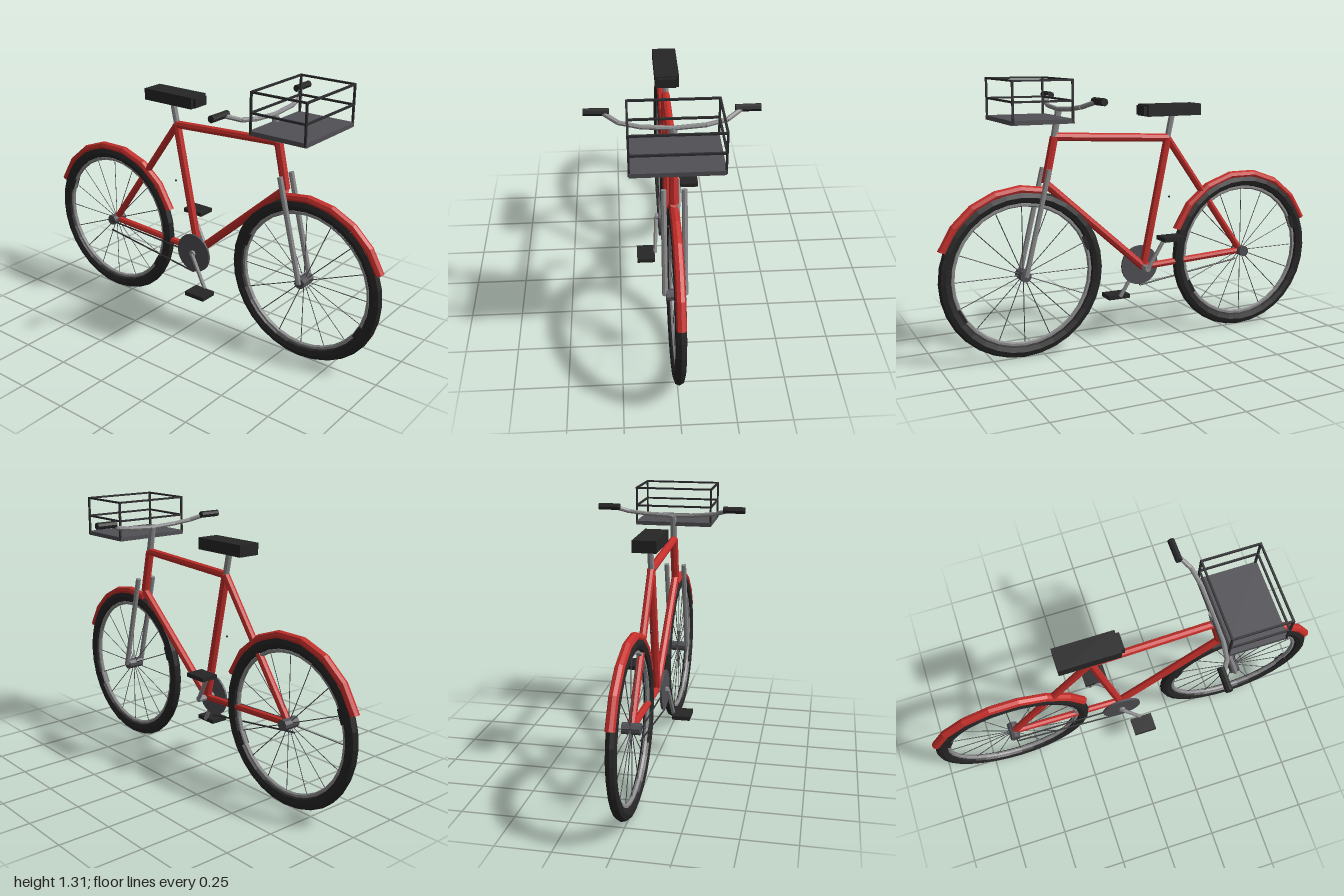
import * as THREE from 'three';

const mat = (name, color) => {
  const m = new THREE.MeshStandardMaterial({ color });
  m.name = name;
  return m;
};

export function createModel() {
  const red = mat('red paint', 0xc62f2b);
  const black = mat('black rubber', 0x262627);
  const steel = mat('steel', 0x8c8c8e);
  const grey = mat('dark grey metal', 0x505055);
  const wire = mat('dark wire', 0x2e2e31);

  const bike = new THREE.Group();
  bike.name = 'bicycle';
  const V = (x, y, z = 0) => new THREE.Vector3(x, y, z);

  const add = (name, geo, material, parent = bike) => {
    const flat = geo.index ? geo.toNonIndexed() : geo;
    flat.computeVertexNormals();
    const mesh = new THREE.Mesh(flat, material);
    mesh.name = name;
    parent.add(mesh);
    return mesh;
  };

  // Straight round bar between two points
  const bar = (name, a, b, r, material, parent = bike, sides = 8) => {
    const mesh = add(name, new THREE.CylinderGeometry(r, r, a.distanceTo(b), sides), material, parent);
    mesh.position.copy(a).lerp(b, 0.5);
    mesh.quaternion.setFromUnitVectors(V(0, 1), b.clone().sub(a).normalize());
    return mesh;
  };

  const box = (name, x, y, z, w, h, d, material, parent = bike) => {
    const mesh = add(name, new THREE.BoxGeometry(w, h, d), material, parent);
    mesh.position.set(x, y, z);
    return mesh;
  };

  // Wheel with tyre, rim, hub, spokes and a mudguard over the given arc
  const wheel = (name, x, startDeg, endDeg, segments) => {
    const g = new THREE.Group();
    g.name = name;
    g.position.set(x, 0.405, 0);
    bike.add(g);
    add('tyre', new THREE.TorusGeometry(0.37, 0.031, 8, 32), black, g).scale.z = 0.8;
    add('rim', new THREE.TorusGeometry(0.336, 0.011, 6, 32), steel, g);
    bar('hub', V(0, 0, -0.042), V(0, 0, 0.042), 0.027, grey, g, 10);
    for (let i = 0; i < 16; i++) {
      const a = (i * Math.PI) / 8;
      bar('spoke', V(0, 0), V(Math.cos(a) * 0.335, Math.sin(a) * 0.335), 0.0022, grey, g, 4);
    }
    // Small rubber blocks on the inner edge of the tyre
    for (const deg of [158, -28]) {
      const a = THREE.MathUtils.degToRad(deg);
      const block = box('tyreBlock', Math.cos(a) * 0.35, Math.sin(a) * 0.35, 0, 0.04, 0.07, 0.034, black, g);
      block.rotation.z = a;
    }
    const arc = THREE.MathUtils.degToRad(endDeg - startDeg);
    const guard = add('mudguard', new THREE.TorusGeometry(0.404, 0.022, 8, segments, arc), red, g);
    guard.rotation.z = THREE.MathUtils.degToRad(startDeg);
    // End caps of the mudguard
    for (const a of [0, arc]) {
      const cap = add('mudguardEnd', new THREE.CircleGeometry(0.022, 8), red, guard);
      cap.position.set(Math.cos(a) * 0.404, Math.sin(a) * 0.404, 0);
      cap.rotation.set(Math.PI / 2, a, 0, 'ZYX');
      cap.rotation.set(0, 0, 0);
      cap.lookAt(0, 0, 0);
      cap.quaternion.setFromUnitVectors(V(0, 0, 1),
        V(-Math.sin(a), Math.cos(a)).multiplyScalar(a ? 1 : -1));
    }
  };
  wheel('rearWheel', -0.597, 21, 159, 7);
  wheel('frontWheel', 0.595, 21, 106, 5);

  // Frame
  const axle = V(-0.597, 0.405), seatLug = V(-0.163, 1.015), bracket = V(-0.03, 0.377);
  const headTop = V(0.43, 1.045), headLow = V(0.477, 0.83);
  bar('seatStay', axle, seatLug, 0.018, red);
  bar('chainStay', axle, bracket, 0.017, red);
  bar('seatTube', bracket, seatLug, 0.02, red);
  bar('topTube', seatLug, headTop, 0.02, red);
  bar('downTube', bracket, headLow, 0.02, red);
  bar('headTube', headLow, headTop, 0.021, red);

  // Saddle
  bar('seatPost', seatLug, V(-0.19, 1.14), 0.015, steel);
  box('saddle', -0.175, 1.153, 0, 0.29, 0.056, 0.112, black);
  box('saddleNose', -0.05, 1.153, 0, 0.074, 0.044, 0.084, black);

  // Fork, stem and handlebar
  bar('stem', headTop, V(0.405, 1.175), 0.017, steel);
  for (const s of [1, -1]) {
    bar('forkBlade', V(0.473, 0.9, s * 0.046), V(0.595, 0.405, s * 0.046), 0.013, steel);
    const pts = [V(0.41, 1.172, 0), V(0.405, 1.18, s * 0.14), V(0.388, 1.193, s * 0.23), V(0.342, 1.22, s * 0.3)];
    for (let i = 0; i < 3; i++) bar('handlebar', pts[i], pts[i + 1], 0.011, steel);
    bar('grip', V(0.342, 1.221, s * 0.268), V(0.34, 1.221, s * 0.378), 0.017, black);
  }

  // Basket: floor, corner posts and two rails
  const basket = new THREE.Group();
  basket.name = 'basket';
  bike.add(basket);
  box('basketFloor', 0.55, 1.13, 0, 0.29, 0.02, 0.392, grey, basket);
  for (const s of [1, -1]) {
    for (const x of [0.412, 0.688]) box('basketPost', x, 1.22, s * 0.194, 0.009, 0.19, 0.009, wire, basket);
    for (const y of [1.22, 1.311]) {
      box('sideRail', 0.55, y, s * 0.194, 0.284, 0.009, 0.009, wire, basket);
      box('endRail', 0.55 + s * 0.138, y, 0, 0.009, 0.009, 0.392, wire, basket);
    }
  }

  // Drivetrain
  bar('crankAxle', V(-0.03, 0.377, -0.058), V(-0.03, 0.377, 0.058), 0.016, steel);
  bar('chainring', V(-0.03, 0.377, 0.035), V(-0.03, 0.377, 0.045), 0.1, grey, bike, 24);
  bar('lowerChain', V(-0.597, 0.35, 0.04), V(-0.03, 0.272, 0.04), 0.004, wire, bike, 6);
  bar('upperChain', V(-0.597, 0.402, 0.04), V(-0.1, 0.378, 0.04), 0.004, wire, bike, 6);
  for (const s of [1, -1]) {
    const end = V(-0.03 + s * 0.094, 0.377 - s * 0.162, s * 0.068);
    bar('crankArm', V(-0.03, 0.377, s * 0.056), end, 0.01, steel);
    box('pedal', -0.03 + s * 0.097, 0.374 - s * 0.162, s * 0.115, 0.115, 0.02, 0.09, black);
  }

  // Small bead behind the seat tube
  add('bead', new THREE.IcosahedronGeometry(0.006, 0), black).position.set(-0.175, 0.72, 0);

  return bike;
}
